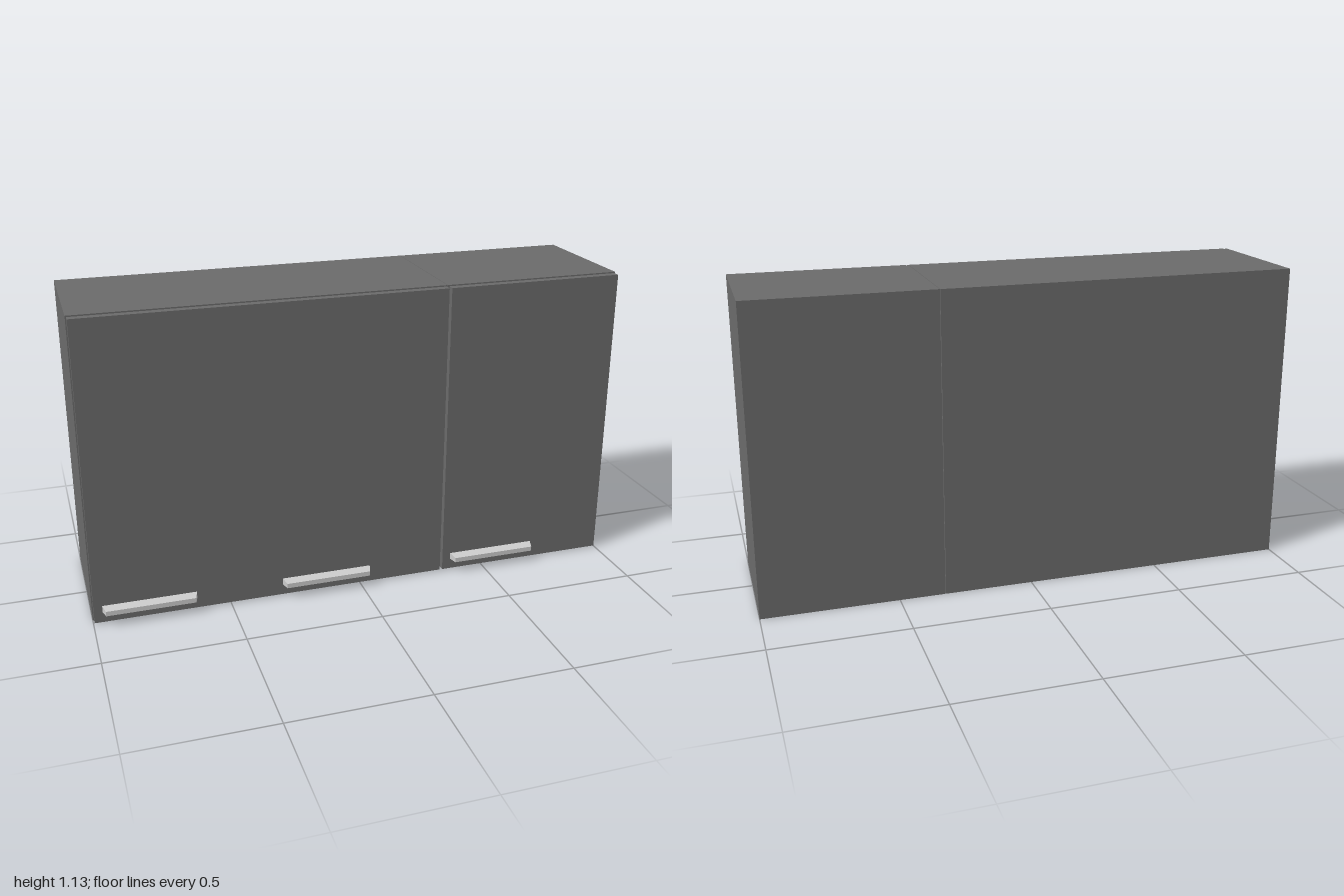
import * as THREE from 'three';

const dark = new THREE.MeshStandardMaterial({ color: 0x6b6b6b });
const grey = new THREE.MeshStandardMaterial({ color: 0xcccccc, flatShading: true });

// Box given by its min and max corners
function box(name, [x0, y0, z0], [x1, y1, z1], material) {
  const mesh = new THREE.Mesh(new THREE.BoxGeometry(x1 - x0, y1 - y0, z1 - z0), material);
  mesh.position.set((x0 + x1) / 2, (y0 + y1) / 2, (z0 + z1) / 2);
  mesh.name = name;
  return mesh;
}

// Bar handle whose ends and top taper towards the front
function handle(x) {
  const width = 0.34, height = 0.025, depth = 0.033;
  const geometry = new THREE.BoxGeometry(width, height, depth);
  const p = geometry.attributes.position;
  for (let i = 0; i < p.count; i++) {
    if (p.getZ(i) < 0) continue;
    p.setX(i, p.getX(i) - Math.sign(p.getX(i)) * 0.009);
    if (p.getY(i) > 0) p.setY(i, p.getY(i) - 0.007);
  }
  geometry.computeVertexNormals();
  const mesh = new THREE.Mesh(geometry, grey);
  mesh.position.set(x, 0.0575, 0.2445 + depth / 2);
  mesh.name = 'handle';
  return mesh;
}

// Carcass with a slightly smaller door standing just off its front
function cabinet(name, x0, x1, handles) {
  const group = new THREE.Group();
  group.name = name;
  group.add(box('carcass', [x0, 0, -0.277], [x1, 1.13, 0.214], dark));
  group.add(box('door', [x0 + 0.004, 0.005, 0.217], [x1 - 0.004, 1.126, 0.2445], dark));
  handles.forEach((x) => group.add(handle(x)));
  return group;
}

export function createModel() {
  const model = new THREE.Group();
  model.name = 'wallCabinets';
  model.add(cabinet('wideCabinet', -1, 0.329, [-0.795, -0.133]));
  model.add(cabinet('narrowCabinet', 0.331, 1, [0.537]));
  return model;
}
